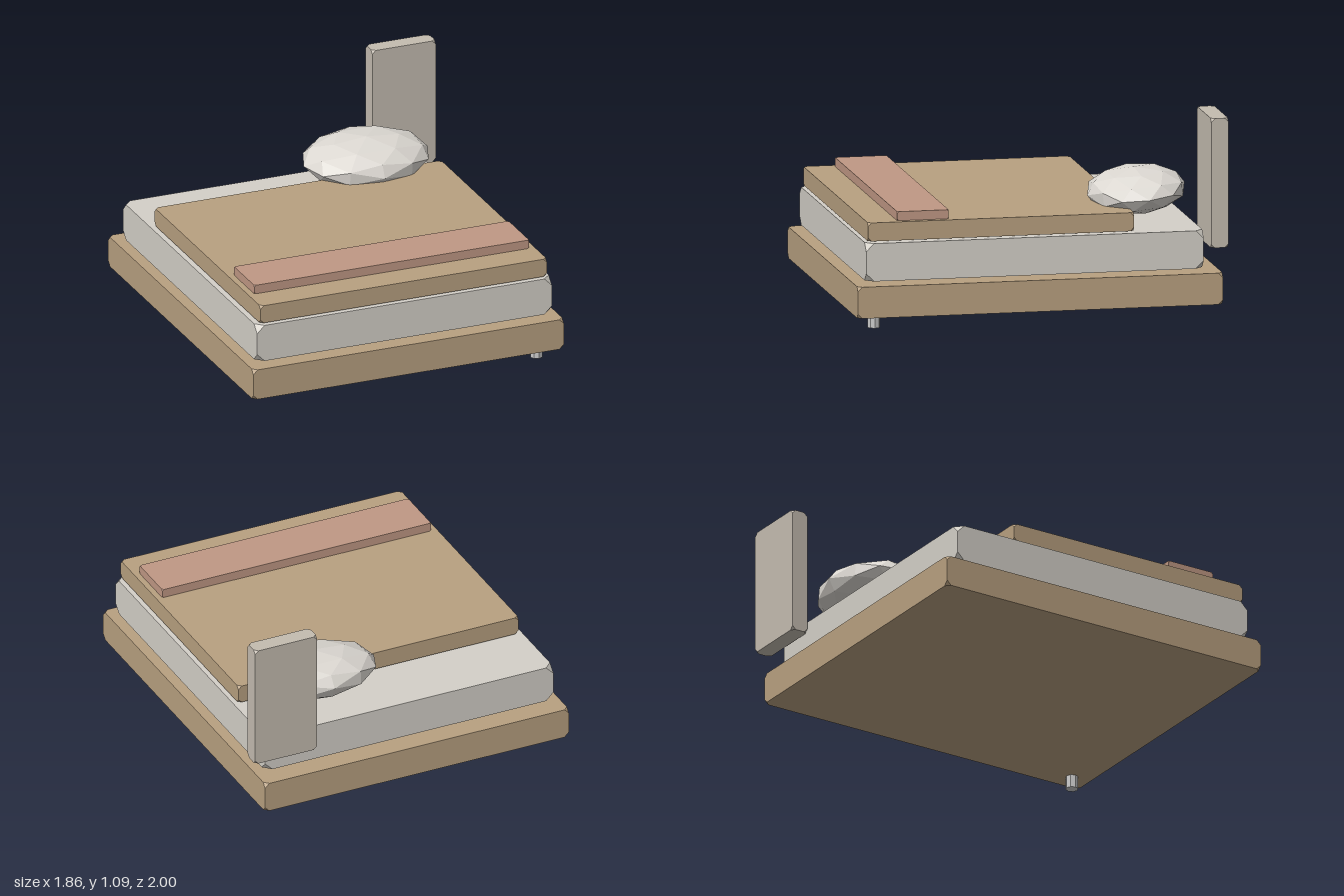
import * as THREE from 'three';
import { ConvexGeometry } from 'three/addons/geometries/ConvexGeometry.js';

const material = (color) => new THREE.MeshStandardMaterial({ color, flatShading: true });
const wood = material(0xb8a080);

// Box between two corners, with each of its eight corners cut off by c
function cutBox(name, [x0, x1], [y0, y1], [z0, z1], c, mat) {
  const half = [(x1 - x0) / 2, (y1 - y0) / 2, (z1 - z0) / 2];
  const points = [];
  for (const sx of [-1, 1]) for (const sy of [-1, 1]) for (const sz of [-1, 1]) {
    for (let axis = 0; axis < 3; axis++) {
      const p = half.slice();
      p[axis] -= c;
      points.push(new THREE.Vector3(sx * p[0], sy * p[1], sz * p[2]));
    }
  }
  const mesh = new THREE.Mesh(new ConvexGeometry(points), mat);
  mesh.name = name;
  mesh.position.set((x0 + x1) / 2, (y0 + y1) / 2, (z0 + z1) / 2);
  return mesh;
}

export function createModel() {
  const bed = new THREE.Group();
  bed.name = 'bed';

  // Stacked slabs, from the floor up
  bed.add(
    cutBox('bedBase', [-0.93, 0.862], [0.07, 0.24], [-0.985, 1], 0.025, wood),
    cutBox('mattress', [-0.885, 0.816], [0.26, 0.465], [-0.89, 0.945], 0.043, material(0xd4d0c8)),
    cutBox('blanket', [-0.86, 0.794], [0.473, 0.573], [-0.516, 0.93], 0.02, wood),
    cutBox('blanketRunner', [-0.825, 0.761], [0.572, 0.622], [0.485, 0.765], 0.01, material(0xc09884)),
    cutBox('headboard', [0.562, 0.928], [0.39, 1.09], [-1, -0.907], 0.02, material(0xc4bcb0))
  );

  // Low-poly pillow, tipped slightly towards the foot end
  const pillow = new THREE.Mesh(new THREE.IcosahedronGeometry(1, 1), material(0xdcd8d2));
  pillow.name = 'pillow';
  pillow.scale.set(0.358, 0.12, 0.266);
  pillow.rotation.x = 0.1;
  pillow.position.set(0.398, 0.626, -0.61);
  bed.add(pillow);

  // Single short leg under the front left corner
  const leg = new THREE.Mesh(new THREE.CylinderGeometry(0.034, 0.034, 0.07, 8), material(0xcccccc));
  leg.name = 'leg';
  leg.position.set(0.75, 0.035, 0.89);
  bed.add(leg);

  return bed;
}
